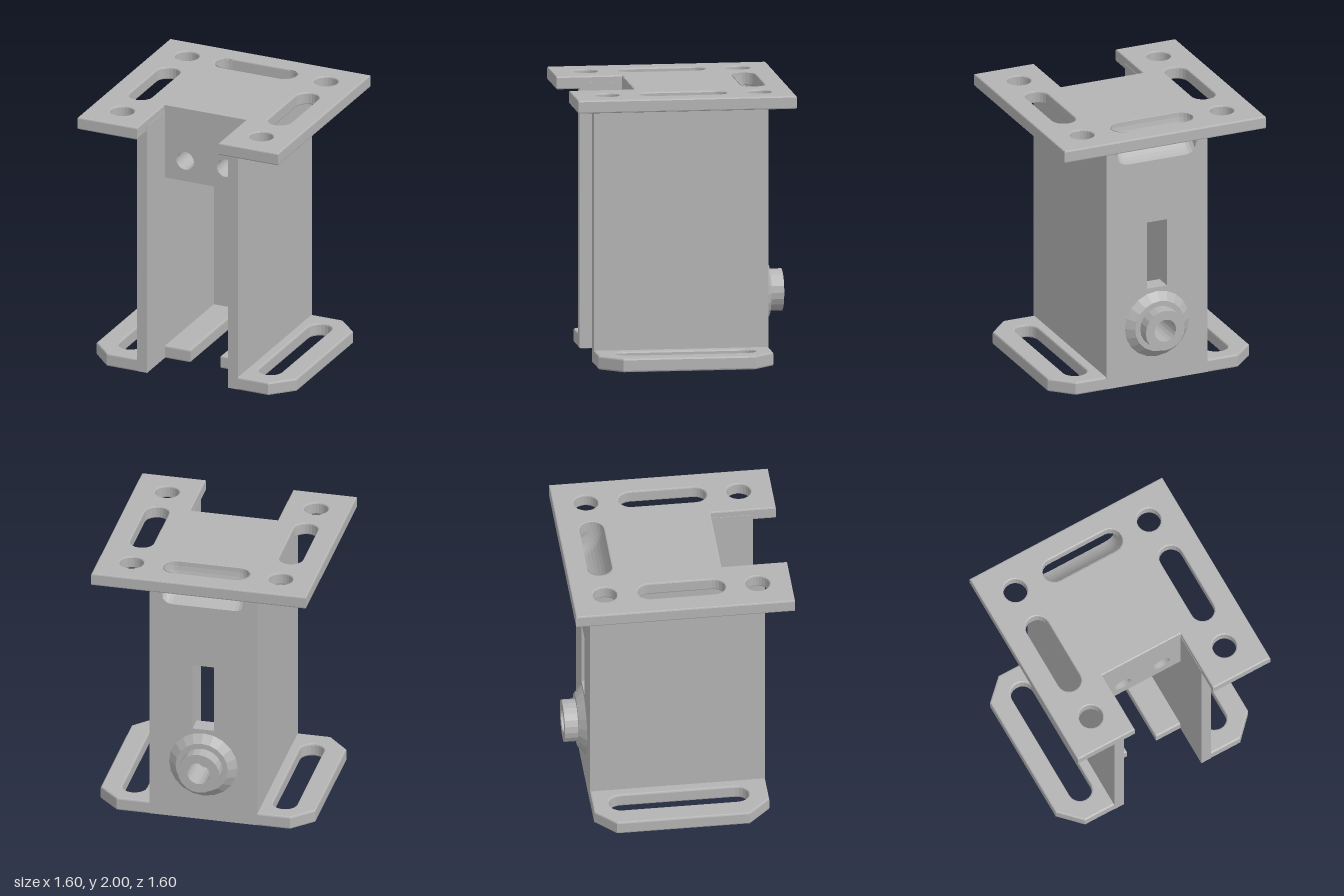
import * as THREE from 'three';

const V2 = (x, y) => new THREE.Vector2(x, y);

// Stadium outline; long axis along x, or along y when upright
function capsule(Path, cx, cy, half, r, upright = false) {
  const p = new Path();
  const pts = [];
  const n = 10, s = half - r;
  for (let i = 0; i <= n; i++) {
    const a = -Math.PI / 2 + (Math.PI * i) / n;
    pts.push([s + r * Math.cos(a), r * Math.sin(a)]);
  }
  for (let i = 0; i <= n; i++) {
    const a = Math.PI / 2 + (Math.PI * i) / n;
    pts.push([-s + r * Math.cos(a), r * Math.sin(a)]);
  }
  p.setFromPoints(pts.map(([u, v]) => (upright ? V2(cx - v, cy + u) : V2(cx + u, cy + v))));
  return p;
}

function circle(x, y, r) {
  const p = new THREE.Path();
  p.absarc(x, y, r, 0, Math.PI * 2, false);
  return p;
}

// Horizontal plate from an (x, -z) shape, with softened edges
function plate(shape, y, thick, bevel) {
  const g = new THREE.ExtrudeGeometry(shape, {
    depth: thick - 2 * bevel, bevelEnabled: true, bevelThickness: bevel,
    bevelSize: bevel, bevelOffset: -bevel, bevelSegments: 2, curveSegments: 12,
  });
  g.rotateX(-Math.PI / 2);
  g.translate(0, y + bevel, 0);
  return g;
}

export function createModel() {
  const model = new THREE.Group();
  model.name = 'mountingBracket';
  const grey = new THREE.MeshStandardMaterial({ color: 0xb4b4b4, flatShading: true, side: THREE.DoubleSide });
  grey.name = 'grey';
  const add = (name, geometry) => {
    const m = new THREE.Mesh(geometry, grey);
    m.name = name;
    model.add(m);
    return m;
  };

  const BACK = -0.65, FRONT = 0.63, INNER = -0.52, R = 0.0875;
  const AXIS = -0.745, MID = 0.1875, LONG = 0.32; // strap tunnel sweep

  // Top plate with front notch, screw holes and slots
  const top = new THREE.Shape([
    V2(-0.8, 0.8), V2(-0.8, -0.8), V2(-0.325, -0.8), V2(-0.325, -0.32),
    V2(0.325, -0.32), V2(0.325, -0.8), V2(0.8, -0.8), V2(0.8, 0.8),
  ]);
  for (const s of [-1, 1]) {
    top.holes.push(circle(s * 0.555, 0.56, R), circle(s * 0.555, -0.555, R));
    top.holes.push(capsule(THREE.Path, s * 0.555, 0, LONG, R, true));
  }
  top.holes.push(capsule(THREE.Path, 0, -(AXIS + MID), LONG, R));
  add('topPlate', plate(top, 1.905, 0.095, 0.01));

  // Base plate with clipped corners and stepped central opening
  const half = [[0.12, INNER], [0.12, 0.32], [0.325, 0.32], [0.325, FRONT], [0.645, FRONT],
    [0.8, 0.47], [0.8, -0.5], [0.645, BACK]];
  const base = new THREE.Shape([
    ...half.map(([x, z]) => V2(x, -z)),
    ...half.slice().reverse().map(([x, z]) => V2(-x, -z)),
  ]);
  for (const s of [-1, 1]) base.holes.push(capsule(THREE.Path, s * 0.56, 0.02, 0.51, R, true));
  add('basePlate', plate(base, 0, 0.1, 0.012));

  // Side walls
  for (const s of [-1, 1]) {
    const g = new THREE.BoxGeometry(0.08, 1.945, FRONT - BACK);
    g.translate(s * 0.362, 1.945 / 2 + 0.005, (FRONT + BACK) / 2);
    add(s > 0 ? 'leftWall' : 'rightWall', g);
  }

  // Back wall with window, bore and the mouth of the strap tunnel
  const section = capsule(THREE.Path, 0, MID, LONG, R).getPoints();
  const mouth = section
    .filter((p) => p.y > 0.139)
    .map((p) => V2(p.x, 2 - Math.sqrt(p.y * p.y - (BACK - AXIS) ** 2)))
    .sort((a, b) => a.x - b.x);
  const edge = mouth[mouth.length - 1].x;
  const wall = new THREE.Shape([
    V2(-0.33, 0.005), V2(0.33, 0.005), V2(0.33, 1.905), V2(edge, 1.905),
    ...mouth.slice().reverse(), V2(-edge, 1.905), V2(-0.33, 1.905),
  ]);
  wall.holes.push(new THREE.Path([V2(-0.08, 0.74), V2(-0.08, 1.26), V2(0.08, 1.26), V2(0.08, 0.74)]));
  wall.holes.push(circle(0, 0.455, 0.085));
  const wallGeo = new THREE.ExtrudeGeometry(wall, { depth: INNER - BACK, bevelEnabled: false });
  wallGeo.translate(0, 0, BACK);
  add('backWall', wallGeo);

  // Curved strap tunnel: stadium section swept from the top plate out of the back wall
  const steps = 10, pos = [], idx = [];
  section.forEach((p) => {
    const end = Math.acos(Math.min(1, (BACK - AXIS) / p.y));
    for (let j = 0; j <= steps; j++) {
      const a = (end * j) / steps;
      pos.push(p.x, 2 - p.y * Math.sin(a), AXIS + p.y * Math.cos(a));
    }
  });
  for (let i = 0; i < section.length - 1; i++) {
    for (let j = 0; j < steps; j++) {
      const a = i * (steps + 1) + j, b = a + steps + 1;
      idx.push(a, a + 1, b, b, a + 1, b + 1);
    }
  }
  const tunnel = new THREE.BufferGeometry();
  tunnel.setAttribute('position', new THREE.Float32BufferAttribute(pos, 3));
  tunnel.setIndex(idx);
  tunnel.computeVertexNormals();
  add('strapTunnel', tunnel);

  // Upper block: core with its rear corner cut clear of the tunnel
  const core = new THREE.ExtrudeGeometry(new THREE.Shape([
    V2(-0.08, 1.425), V2(-0.08, 1.93), V2(0.46, 1.93), V2(0.52, 1.8), V2(0.52, 1.425),
  ]), { depth: 0.65, bevelEnabled: false });
  core.rotateY(Math.PI / 2);
  core.translate(-0.325, 0, 0);
  add('upperBlock', core);

  // Front of the upper block with two blind screw holes
  const face = new THREE.Shape([V2(-0.325, 1.425), V2(0.325, 1.425), V2(0.325, 1.995), V2(-0.325, 1.995)]);
  for (const s of [-1, 1]) face.holes.push(circle(s * 0.162, 1.585, 0.07));
  const faceGeo = new THREE.ExtrudeGeometry(face, { depth: 0.24, bevelEnabled: false });
  faceGeo.translate(0, 0, 0.08);
  add('upperBlockFace', faceGeo);

  // Flared nozzle on the back with a blind bore
  const nozzle = new THREE.LatheGeometry([
    V2(0.255, 0), V2(0.195, 0.052), V2(0.155, 0.052), V2(0.155, 0.15),
    V2(0.085, 0.15), V2(0.085, -0.11), V2(0, -0.11),
  ], 20);
  nozzle.rotateX(-Math.PI / 2);
  nozzle.translate(0, 0.455, BACK);
  add('nozzle', nozzle);

  return model;
}
